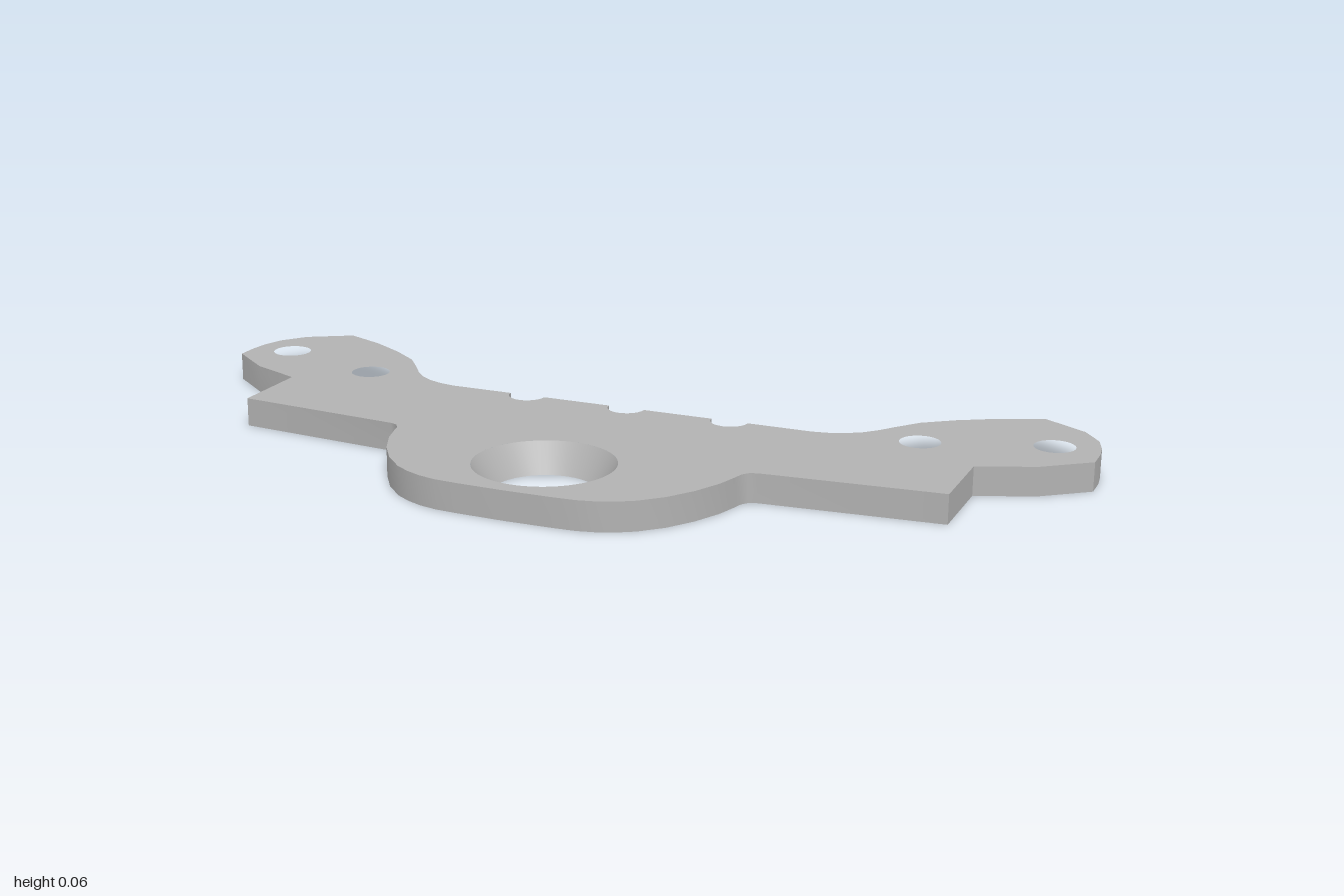
import * as THREE from 'three';
import { toCreasedNormals } from 'three/addons/utils/BufferGeometryUtils.js';

const HEIGHT = 0.062;
const CREASE = 0.62;
const BORE = { z: 0.257, top: 0.147, bottom: 0.108, segments: 48 };

// Points of a round notch in the back edge, from angle a0 to a1 (0 = toward -x)
function notch(cx, a0, a1, steps) {
  const points = [];
  for (let i = 0; i <= steps; i++) {
    const a = a0 + ((a1 - a0) * i) / steps;
    points.push([cx - 0.041 * Math.cos(a), -0.157 + 0.041 * Math.sin(a)]);
  }
  return points;
}

// Left half of the outline as [x, z], from back centre to front centre
function halfOutline() {
  return [
    ...notch(0, Math.PI / 2, Math.PI, 6),
    ...notch(0.237, 0, Math.PI, 12),
    // neck and back edge of the wing
    [0.42, -0.157], [0.455, -0.163], [0.487, -0.175], [0.519, -0.196],
    [0.545, -0.224], [0.572, -0.262], [0.61, -0.31], [0.674, -0.358],
    [0.754, -0.405], [0.845, -0.443],
    // wing tip
    [0.94, -0.386], [0.98, -0.333], [0.995, -0.285], [1, -0.245],
    [1, -0.193], [0.904, -0.118], [0.786, -0.069],
    // square shoulder
    [0.786, 0.115], [0.41, 0.146], [0.394, 0.152], [0.384, 0.166],
    // rounded front lobe
    [0.378, 0.19], [0.365, 0.235], [0.337, 0.295], [0.3, 0.35], [0.257, 0.392],
    [0.225, 0.412], [0.19, 0.427], [0.15, 0.436], [0.1, 0.439], [0, 0.441],
  ];
}

function circleHole(x, z, r) {
  return new THREE.Path().absarc(x, -z, r, 0, Math.PI * 2, true);
}

export function createModel() {
  const group = new THREE.Group();
  group.name = 'mountingBracket';
  const grey = new THREE.MeshStandardMaterial({ color: 0xb2b2b2 });
  grey.name = 'plain grey';

  // Flat plate: mirrored outline with bolt holes and the bore opening
  const half = halfOutline();
  const mirrored = half.slice(1, -1).reverse().map(([x, z]) => [-x, z]);
  const shape = new THREE.Shape(
    [...half, ...mirrored].map(([x, z]) => new THREE.Vector2(x, -z))
  );
  for (const side of [1, -1]) {
    shape.holes.push(circleHole(side * 0.904, -0.262, 0.043));
    shape.holes.push(circleHole(side * 0.645, -0.18, 0.043));
  }
  shape.holes.push(circleHole(0, BORE.z, BORE.top));

  const plateGeometry = new THREE.ExtrudeGeometry(shape, {
    depth: HEIGHT, bevelEnabled: false, curveSegments: BORE.segments,
  });
  plateGeometry.rotateX(-Math.PI / 2);
  const plate = new THREE.Mesh(toCreasedNormals(plateGeometry, CREASE), grey);
  plate.name = 'plate';
  group.add(plate);

  // Tapered wall of the bore, narrowing toward the underside
  const boreGeometry = new THREE.LatheGeometry([
    new THREE.Vector2(BORE.top, HEIGHT),
    new THREE.Vector2(BORE.bottom, 0),
    new THREE.Vector2(BORE.top, 0),
  ], BORE.segments);
  const bore = new THREE.Mesh(toCreasedNormals(boreGeometry, CREASE), grey);
  bore.name = 'taperedBore';
  bore.position.z = BORE.z;
  group.add(bore);

  return group;
}
